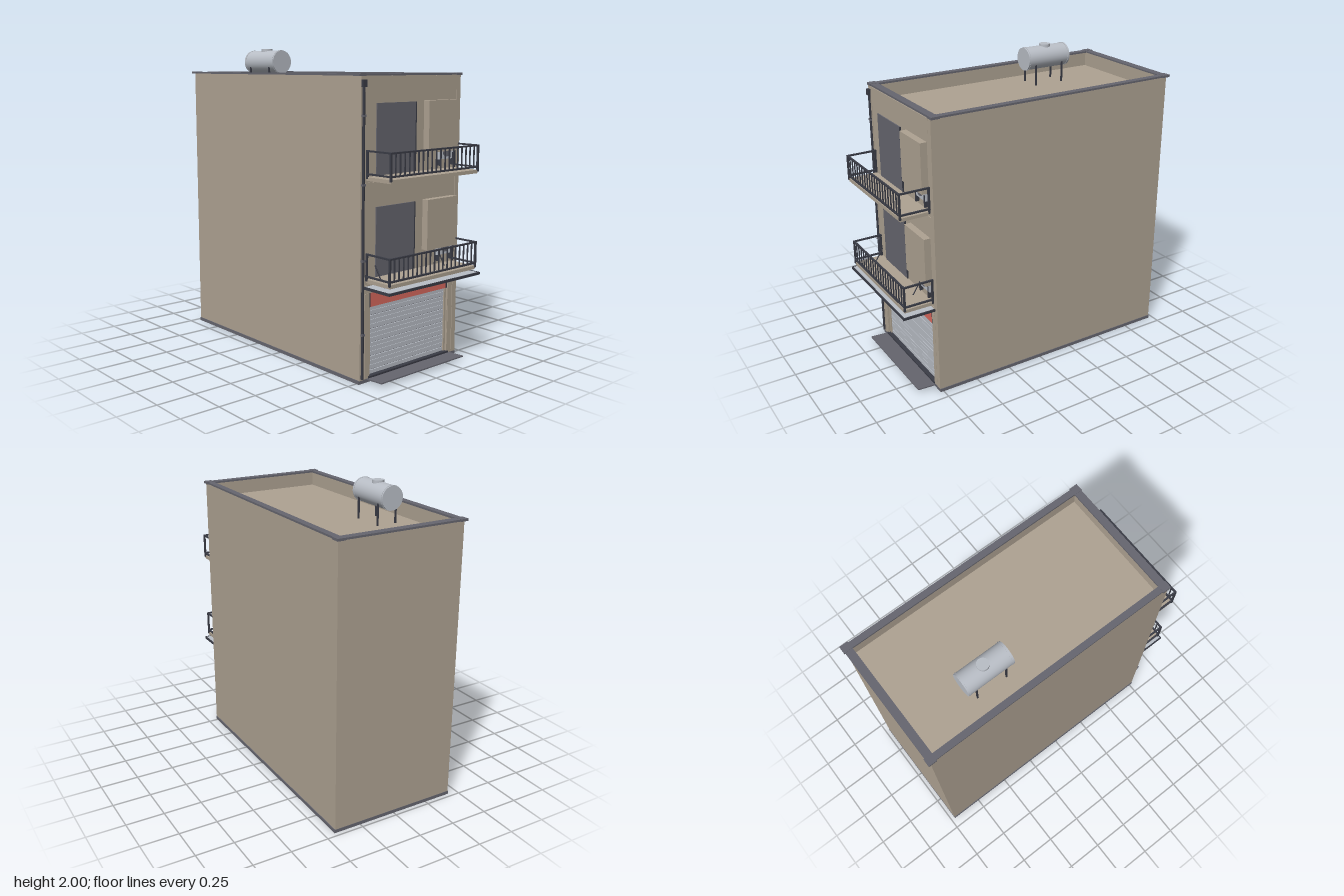
import * as THREE from 'three';

const mat = (name, color) => {
  const m = new THREE.MeshStandardMaterial({ color });
  m.name = name;
  return m;
};

export function createModel() {
  const wall = mat('beigePlaster', 0xaea292);
  const dark = mat('darkGrey', 0x66666f);
  const iron = mat('blackIron', 0x3a3c46);
  const steel = mat('paleSteel', 0xb9bec6);
  const red = mat('redSign', 0xd8695e);
  const root = new THREE.Group();
  root.name = 'townhouse';

  const add = (parent, name, geo, m, x = 0, y = 0, z = 0) => {
    const mesh = new THREE.Mesh(geo, m);
    mesh.name = name;
    mesh.position.set(x, y, z);
    parent.add(mesh);
    return mesh;
  };
  // box given by its minimum and maximum corners
  const box = (parent, name, m, x0, x1, y0, y1, z0, z1) =>
    add(parent, name, new THREE.BoxGeometry(x1 - x0, y1 - y0, z1 - z0), m,
      (x0 + x1) / 2, (y0 + y1) / 2, (z0 + z1) / 2);
  // round bar between two points
  const bar = (parent, name, m, a, b, r) => {
    const p = new THREE.Vector3(...a), q = new THREE.Vector3(...b);
    const d = q.clone().sub(p);
    const mesh = add(parent, name, new THREE.CylinderGeometry(r, r, d.length(), 8), m);
    mesh.position.copy(p).add(q).multiplyScalar(0.5);
    mesh.quaternion.setFromUnitVectors(new THREE.Vector3(0, 1, 0), d.normalize());
    return mesh;
  };
  const rect = (P, x0, x1, y0, y1) => {
    const p = new P();
    p.moveTo(x0, y0);
    p.lineTo(x1, y0);
    p.lineTo(x1, y1);
    p.lineTo(x0, y1);
    p.closePath();
    return p;
  };
  const framed = (outer, hole, depth) => {
    const s = rect(THREE.Shape, ...outer);
    s.holes.push(rect(THREE.Path, ...hole));
    return new THREE.ExtrudeGeometry(s, { depth, bevelEnabled: false });
  };

  // Main block, front wall with the shop opening, and plinth
  box(root, 'plinth', dark, -0.435, 0.435, 0, 0.022, -0.972, 0.772);
  box(root, 'body', wall, -0.43, 0.43, 0.022, 1.74, -0.97, 0.74);
  add(root, 'frontWall', framed([-0.43, 0.43, 0.022, 1.74], [-0.35, 0.35, 0.03, 0.55], 0.03),
    wall, 0, 0, 0.74);

  // Parapet and coping, lying flat around the roof
  const parapet = add(root, 'parapet',
    framed([-0.43, 0.43, -0.77, 0.97], [-0.4, 0.4, -0.73, 0.93], 0.095), wall, 0, 1.74, 0);
  parapet.rotation.x = -Math.PI / 2;
  const coping = add(root, 'coping',
    framed([-0.437, 0.437, -0.772, 0.982], [-0.394, 0.394, -0.722, 0.93], 0.012), dark, 0, 1.832, 0);
  coping.rotation.x = -Math.PI / 2;
  for (const x of [-0.418, 0.418])
    for (const z of [-0.96, 0.748])
      box(root, 'copingCorner', dark, x - 0.026, x + 0.026, 1.831, 1.846, z - 0.028, z + 0.028);

  // Raised facade bands and edge pilasters
  for (const [y0, y1] of [[1.74, 1.83], [1.2, 1.215], [0.555, 0.605]])
    box(root, 'facadeBand', wall, -0.395, 0.395, y0, y1, 0.768, 0.775);
  for (const s of [-1, 1]) {
    box(root, 'edgePilaster', wall, s * 0.412 - 0.018, s * 0.412 + 0.018, 0.022, 1.83, 0.768, 0.774);
    box(root, 'shopPilaster', wall, s * 0.372 - 0.018, s * 0.372 + 0.018, 0.022, 0.55, 0.768, 0.773);
  }

  // Roller shutter made of slats
  const shop = new THREE.Group();
  shop.name = 'shopFront';
  root.add(shop);
  box(shop, 'shutterBacking', dark, -0.345, 0.345, 0.03, 0.47, 0.738, 0.744);
  for (let i = 0; i < 15; i++) {
    const y = 0.037 + i * 0.0285;
    box(shop, 'shutterSlat', steel, -0.333, 0.333, y, y + (i % 3 ? 0.0265 : 0.023), 0.742, 0.752);
  }
  for (const s of [-1, 1])
    box(shop, 'shutterGuide', wall, s * 0.341 - 0.008, s * 0.341 + 0.008, 0.03, 0.47, 0.742, 0.76);
  box(shop, 'signBoard', red, -0.338, 0.338, 0.462, 0.55, 0.742, 0.766);
  for (const s of [-1, 1])
    box(shop, 'signEnd', iron, s * 0.344 - 0.006, s * 0.344 + 0.006, 0.462, 0.55, 0.742, 0.768);
  box(shop, 'threshold', iron, -0.36, 0.36, 0.022, 0.036, 0.742, 0.78);

  // Sloping entrance plate
  const ramp = box(root, 'entrancePlate', dark, -0.37, 0.37, 0.02, 0.028, 0.77, 0.9);
  ramp.rotation.x = -0.06;

  // Canopy over the shop, with tie rods
  box(root, 'canopy', steel, -0.4, 0.4, 0.588, 0.597, 0.77, 0.985);
  box(root, 'canopyFrontEdge', iron, -0.402, 0.402, 0.583, 0.599, 0.982, 0.99);
  for (const s of [-1, 1])
    box(root, 'canopySideEdge', iron, s * 0.4 - 0.004, s * 0.4 + 0.004, 0.583, 0.599, 0.77, 0.99);
  for (const x of [-0.325, 0.235])
    bar(root, 'canopyTie', iron, [x, 0.555, 0.895], [x, 0.72, 0.79], 0.004);

  // Two identical upper floors
  for (const y of [0.64, 1.25]) {
    const floor = new THREE.Group();
    floor.name = 'upperFloor';
    floor.position.y = y;
    root.add(floor);

    box(floor, 'balconySlab', wall, -0.38, 0.38, -0.022, 0, 0.77, 0.968);
    box(floor, 'balconyDoor', dark, -0.305, 0.025, 0.002, 0.425, 0.768, 0.777);
    box(floor, 'doorEdge', iron, 0.02, 0.027, 0.002, 0.425, 0.768, 0.779);
    box(floor, 'windowBox', wall, 0.1, 0.368, 0.112, 0.43, 0.765, 0.815);

    // Air conditioner tucked under the window box
    box(floor, 'airConditioner', steel, 0.225, 0.36, 0.06, 0.115, 0.765, 0.79);
    const fan = add(floor, 'airConditionerFan',
      new THREE.CylinderGeometry(0.036, 0.036, 0.006, 24, 1, false, -Math.PI / 2, Math.PI),
      dark, 0.292, 0.111, 0.791);
    fan.rotation.x = Math.PI / 2;
    for (const x of [0.235, 0.35])
      box(floor, 'airConditionerBracket', iron, x - 0.005, x + 0.005, 0.02, 0.1, 0.768, 0.794);

    // Railing
    for (const h of [0.018, 0.152]) {
      box(floor, 'frontRail', iron, -0.386, 0.386, h - 0.005, h + 0.005, 0.962, 0.974);
      for (const s of [-1, 1])
        box(floor, 'sideRail', iron, s * 0.38 - 0.006, s * 0.38 + 0.006, h - 0.005, h + 0.005, 0.77, 0.97);
    }
    for (const s of [-1, 1])
      for (const z of [0.777, 0.968])
        box(floor, 'railPost', iron, s * 0.38 - 0.006, s * 0.38 + 0.006, -0.01, 0.155, z - 0.006, z + 0.006);
    for (let i = 1; i < 20; i++) {
      const x = -0.38 + i * 0.038;
      box(floor, 'baluster', iron, x - 0.0035, x + 0.0035, 0.015, 0.15, 0.965, 0.972);
    }
  }

  // Rainwater pipe with hopper and clips
  bar(root, 'drainPipe', iron, [-0.413, 0.03, 0.778], [-0.413, 1.78, 0.778], 0.009);
  box(root, 'drainHopper', iron, -0.428, -0.398, 1.77, 1.81, 0.768, 0.792);
  for (const y of [0.3, 0.75, 1.2, 1.6])
    box(root, 'drainClip', dark, -0.426, -0.4, y, y + 0.012, 0.768, 0.789);

  // Water tank on the roof
  const tank = new THREE.Group();
  tank.name = 'waterTank';
  tank.position.set(-0.195, 1.913, -0.418);
  root.add(tank);
  const drum = add(tank, 'tankDrum', new THREE.CylinderGeometry(0.076, 0.076, 0.325, 32), steel);
  drum.rotation.x = Math.PI / 2;
  for (const z of [-0.15, 0.15]) {
    const rim = add(tank, 'tankRim', new THREE.CylinderGeometry(0.0785, 0.0785, 0.006, 32), steel, 0, 0, z);
    rim.rotation.x = Math.PI / 2;
  }
  add(tank, 'tankHatch', new THREE.CylinderGeometry(0.038, 0.038, 0.02, 24), steel, 0, 0.077, -0.005);
  for (const x of [-0.066, 0.066])
    for (const z of [-0.105, 0.105])
      box(tank, 'tankLeg', iron, x - 0.005, x + 0.005, -0.175, -0.035, z - 0.005, z + 0.005);

  return root;
}
